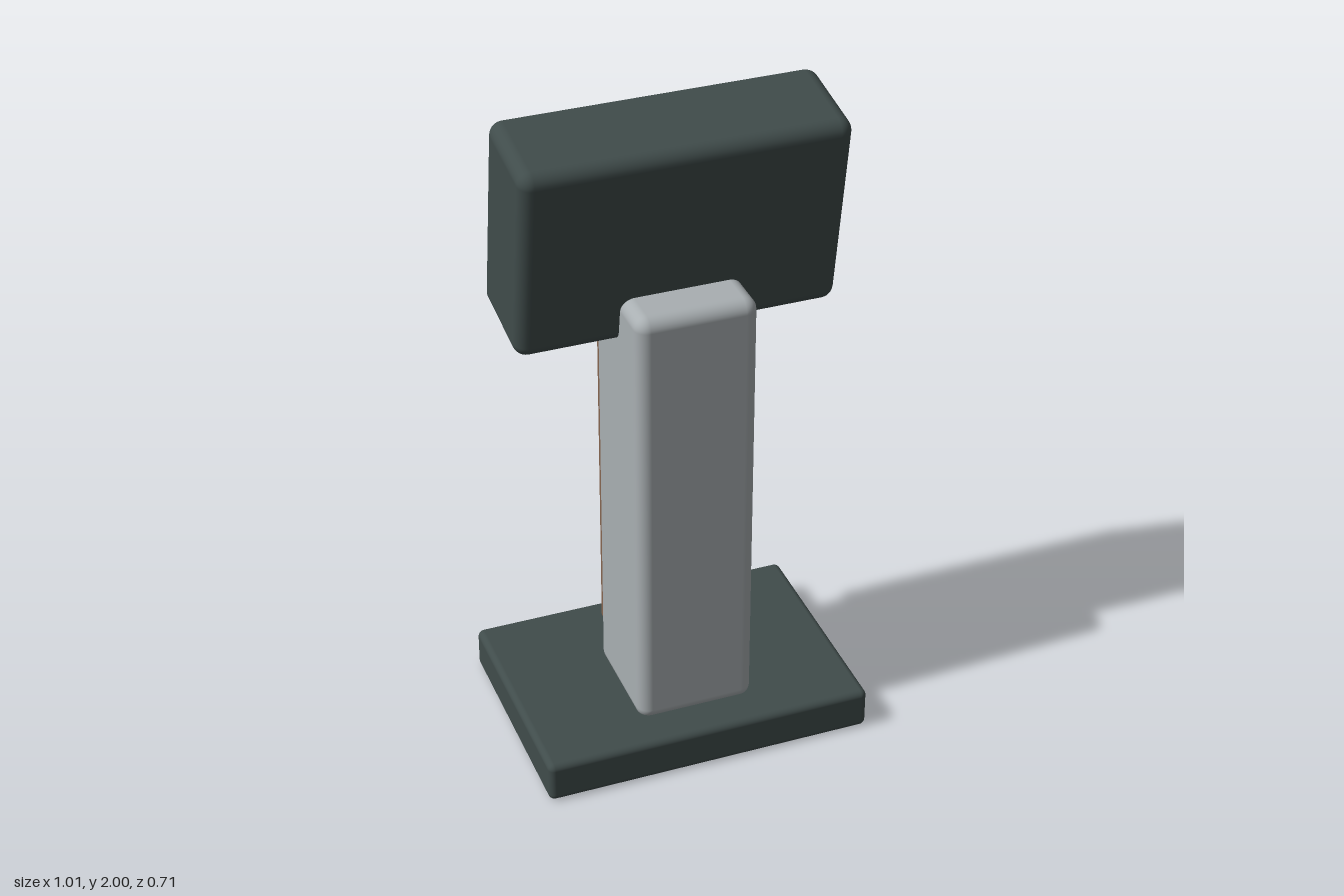
import * as THREE from 'three';
import { RoundedBoxGeometry } from 'three/addons/geometries/RoundedBoxGeometry.js';

const material = (name, color) => {
  const m = new THREE.MeshStandardMaterial({ color });
  m.name = name;
  return m;
};

export function createModel() {
  const charcoal = material('charcoal', 0x404c4b);
  const grey = material('light grey', 0xa9afb2);
  const brown = material('brown', 0x856550);
  const green = material('screen green', 0x3f6c66);
  const slotDark = material('slot dark', 0x2b3335);

  // Rounded box given by its extents, symmetric in x
  const box = (parent, name, mat, halfX, [y0, y1], [z0, z1], radius) => {
    const geo = new RoundedBoxGeometry(2 * halfX, y1 - y0, z1 - z0, 4, radius);
    const mesh = new THREE.Mesh(geo, mat);
    mesh.name = name;
    mesh.position.set(0, (y0 + y1) / 2, (z0 + z1) / 2);
    parent.add(mesh);
    return mesh;
  };

  const model = new THREE.Group();
  model.name = 'kiosk';

  // Stand
  box(model, 'base', charcoal, 0.505, [0, 0.13], [-0.355, 0.355], 0.02);
  box(model, 'column', grey, 0.18, [0.11, 1.5], [-0.125, 0.236], 0.04);
  box(model, 'backPanel', brown, 0.147, [0.185, 1.45], [-0.216, -0.132], 0.018);

  // Shelf below the screen, with a slot on its back edge
  box(model, 'shelf', grey, 0.41, [1.318, 1.383], [-0.229, -0.022], 0.005);
  box(model, 'shelfSlot', slotDark, 0.13, [1.35, 1.37], [-0.234, -0.225], 0.004);

  // Tilted head with the screen on the back
  const head = new THREE.Group();
  head.name = 'head';
  head.position.set(0, 1.6775, -0.025);
  head.rotation.x = THREE.MathUtils.degToRad(9);
  model.add(head);
  box(head, 'housing', charcoal, 0.477, [-0.308, 0.308], [-0.1515, 0.1515], 0.04);
  box(head, 'screenFrame', charcoal, 0.44, [-0.243, 0.243], [-0.168, -0.15], 0.005);
  box(head, 'screen', green, 0.403, [-0.2, 0.2], [-0.175, -0.166], 0.002);

  return model;
}
